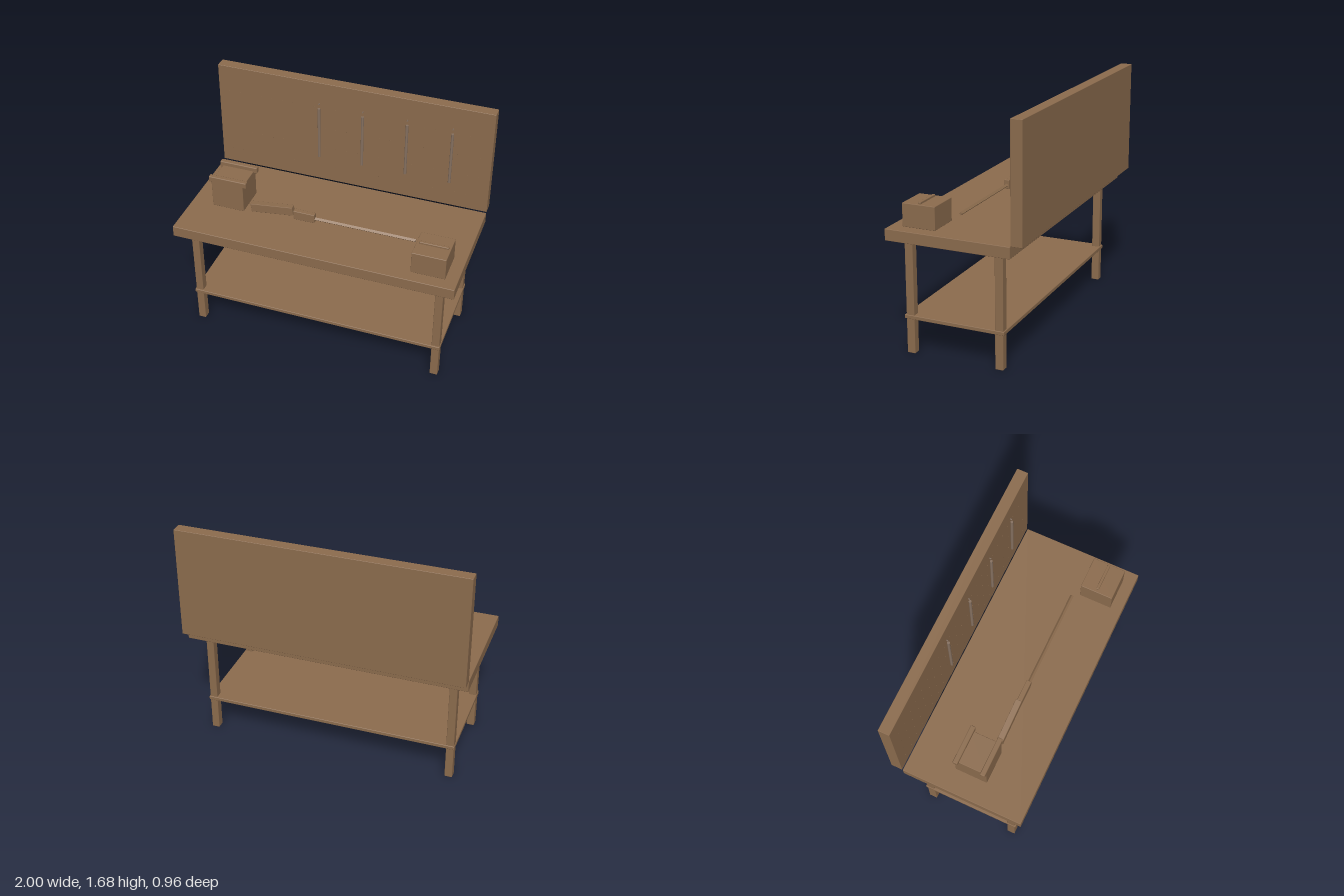
import * as THREE from 'three';
import { RoundedBoxGeometry } from 'three/addons/geometries/RoundedBoxGeometry.js';

export function createModel() {
  const root = new THREE.Group();
  root.name = 'workbench';

  const wood = new THREE.MeshStandardMaterial({ color: 0x8b6b4d });
  wood.name = 'wood';
  const dullMetal = new THREE.MeshStandardMaterial({ color: 0x867161 });
  dullMetal.name = 'dull metal';

  const add = (parent, name, geometry, material = wood) => {
    const mesh = new THREE.Mesh(geometry, material);
    mesh.name = name;
    parent.add(mesh);
    return mesh;
  };
  // Softly bevelled box given by its extents on each axis
  const box = (parent, name, [x0, x1], [y0, y1], [z0, z1], bevel = 0.004) => {
    const mesh = add(parent, name, new RoundedBoxGeometry(x1 - x0, y1 - y0, z1 - z0, 1, bevel));
    mesh.position.set((x0 + x1) / 2, (y0 + y1) / 2, (z0 + z1) / 2);
    return mesh;
  };
  const group = (name) => {
    const g = new THREE.Group();
    g.name = name;
    root.add(g);
    return g;
  };

  // Table: top, four legs and lower shelf
  const table = group('table');
  box(table, 'tableTop', [-1, 1], [0.8, 0.88], [-0.397, 0.48]);
  box(table, 'lowerShelf', [-0.915, 0.915], [0.245, 0.272], [-0.317, 0.4]);
  for (const x of [-0.8825, 0.8825]) {
    for (const z of [-0.28, 0.36]) {
      box(table, 'leg', [x - 0.0275, x + 0.0275], [0, 0.802], [z - 0.029, z + 0.029], 0.005);
    }
  }

  // Upright tool board with rows of small peg holes
  const board = group('toolBoard');
  box(board, 'boardPanel', [-1, 1], [0.884, 1.68], [-0.48, -0.4], 0.003);
  const dot = new THREE.CylinderGeometry(0.003, 0.003, 0.004, 6);
  dot.rotateX(Math.PI / 2);
  for (let row = 0; row < 4; row++) {
    for (let col = 0; col < 24; col++) {
      add(board, 'pegHole', dot).position.set(-0.92 + col * 0.08, 1.0 + row * 0.16, -0.4);
    }
  }

  // Four hanging bars, each below its own hook
  const bar = new THREE.CylinderGeometry(0.01, 0.01, 0.4, 8);
  const hook = new THREE.CylinderGeometry(0.005, 0.005, 0.016, 6);
  hook.rotateX(Math.PI / 2);
  for (const x of [-0.24, 0.08, 0.4, 0.72]) {
    add(board, 'hangingBar', bar, dullMetal).position.set(x, 1.28, -0.389);
    add(board, 'hook', hook, dullMetal).position.set(x, 1.515, -0.395);
  }

  // Vise: body with two jaws
  const vise = group('vise');
  box(vise, 'viseBody', [-0.84, -0.605], [0.88, 1.09], [-0.076, 0.156]);
  for (const z of [-0.06, 0.138]) {
    box(vise, 'viseJaw', [-0.86, -0.58], [1.075, 1.12], [z - 0.018, z + 0.018], 0.006);
  }

  // Long tool lying on the bench: tilted grip, collar and shaft
  const tool = group('longTool');
  const grip = box(tool, 'toolGrip', [-0.558, -0.244], [0.9, 0.965], [0.095, 0.139]);
  grip.rotation.z = 0.13;
  box(tool, 'toolCollar', [-0.242, -0.086], [0.893, 0.96], [0.1, 0.136]);
  const shaft = new THREE.CylinderGeometry(0.0125, 0.0125, 0.73, 4);
  shaft.rotateZ(Math.PI / 2);
  const shaftMesh = add(tool, 'toolShaft', shaft.toNonIndexed());
  shaftMesh.geometry.computeVertexNormals();
  shaftMesh.position.set(0.27, 0.921, 0.118);

  // Small tool box with a lid handle
  const chest = group('toolBox');
  box(chest, 'toolBoxBody', [0.68, 0.915], [0.88, 1.04], [0.16, 0.396]);
  box(chest, 'toolBoxHandle', [0.7, 0.9], [1.036, 1.054], [0.267, 0.287]);

  return root;
}
